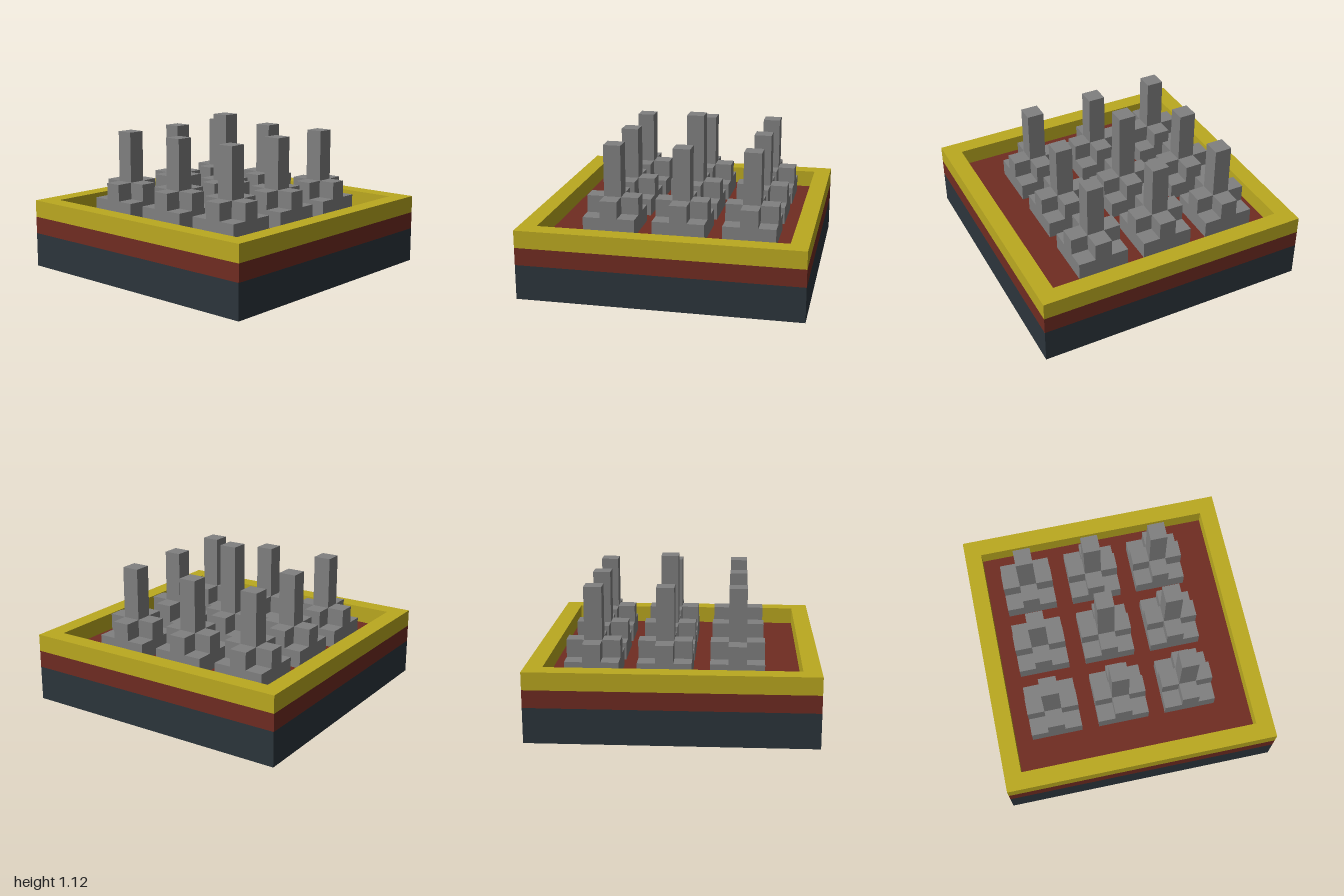
import * as THREE from 'three';

const U = 0.125; // one block

const material = (name, color) => {
  const m = new THREE.MeshStandardMaterial({ color });
  m.name = name;
  return m;
};

function addMesh(parent, name, geometry, mat, x, y, z) {
  const mesh = new THREE.Mesh(geometry, mat);
  mesh.name = name;
  mesh.position.set(x, y, z);
  parent.add(mesh);
  return mesh;
}

// Box standing on y
function addBox(parent, name, w, h, d, mat, x, y, z) {
  return addMesh(parent, name, new THREE.BoxGeometry(w, h, d), mat, x, y + h / 2, z);
}

// Flat outline extruded upwards by one block
function layer(shape) {
  return new THREE.ExtrudeGeometry(shape, { depth: U, bevelEnabled: false }).rotateX(-Math.PI / 2);
}

const square = (r) => [[-r, -r], [r, -r], [r, r], [-r, r]].map(([x, y]) => new THREE.Vector2(x, y));

function crossShape() {
  const a = U / 2, b = 1.5 * U;
  return new THREE.Shape([
    [-a, -b], [a, -b], [a, -a], [b, -a], [b, a], [a, a],
    [a, b], [-a, b], [-a, a], [-b, a], [-b, -a], [-a, -a],
  ].map(([x, y]) => new THREE.Vector2(x, y)));
}

export function createModel() {
  const model = new THREE.Group();
  model.name = 'towerBoard';

  const slate = material('slate', 0x2c353c);
  const red = material('brickRed', 0x702c22);
  const yellow = material('yellow', 0xbba920);
  const grey = material('grey', 0x808080);

  // Stacked base slabs
  addBox(model, 'base', 2, 2 * U, 2, slate, 0, 0, 0);
  addBox(model, 'floor', 2, U, 2, red, 0, 2 * U, 0);

  // Raised rim around the floor
  const rim = new THREE.Shape(square(1));
  rim.holes.push(new THREE.Path(square(1 - U).reverse()));
  addMesh(model, 'rim', layer(rim), yellow, 0, 3 * U, 0);

  // Three by three stepped towers, the middle one a block taller
  const cross = layer(crossShape());
  for (let i = -1; i <= 1; i++) {
    for (let j = -1; j <= 1; j++) {
      const tower = new THREE.Group();
      tower.name = 'tower';
      tower.position.set(4 * U * i - U / 2, 3 * U, 4 * U * j - U / 2);
      const blocks = i === 0 && j === 0 ? 4 : 3;
      addBox(tower, 'towerFoot', 3 * U, U, 3 * U, grey, 0, 0, 0);
      addMesh(tower, 'towerStep', cross, grey, 0, U, 0);
      addBox(tower, 'towerShaft', U, blocks * U, U, grey, 0, 2 * U, 0);
      model.add(tower);
    }
  }

  return model;
}
